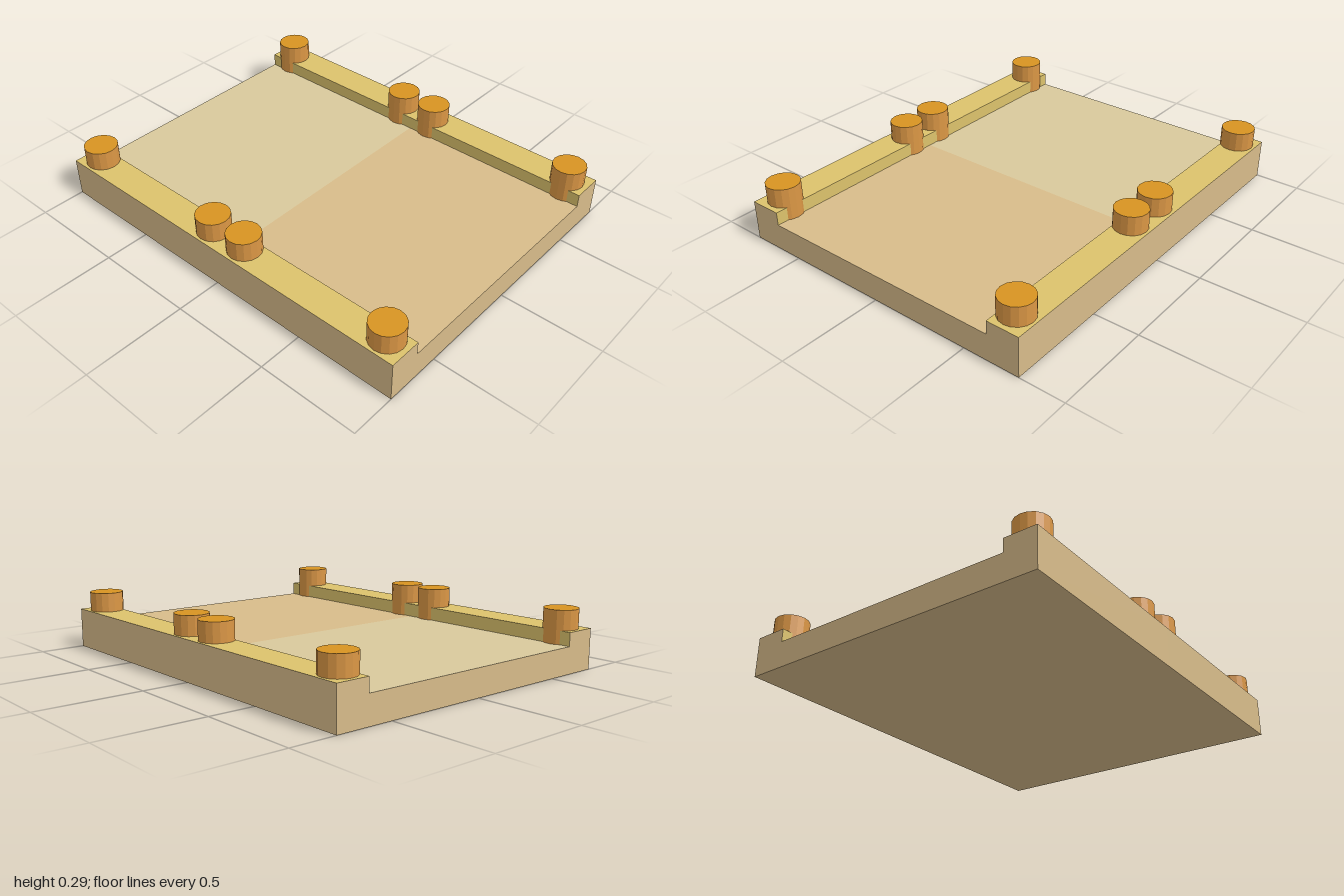
import * as THREE from 'three';

const HALF_W = 0.78, INNER = 0.62, FLOOR = 0.13, RAIL = 0.195, PEG_TOP = 0.29;

const paint = (color) => new THREE.MeshStandardMaterial({ color, flatShading: true });

// Tray: a U section swept along z, with the floor halves and rails painted
function makeTray() {
  const shape = new THREE.Shape([
    [-HALF_W, 0], [HALF_W, 0], [HALF_W, RAIL], [INNER, RAIL],
    [INNER, FLOOR], [-INNER, FLOOR], [-INNER, RAIL], [-HALF_W, RAIL],
  ].map(([x, y]) => new THREE.Vector2(x, y)));
  const geometry = new THREE.ExtrudeGeometry(shape, { depth: 2, steps: 2, bevelEnabled: false });
  geometry.translate(0, 0, -1);

  // Paint by where each triangle lies: 0 body, 1 front floor, 2 back floor, 3 rail
  const p = geometry.attributes.position, n = geometry.attributes.normal;
  geometry.clearGroups();
  for (let i = 0; i < p.count; i += 3) {
    const mean = (axis) => (p[axis](i) + p[axis](i + 1) + p[axis](i + 2)) / 3;
    const x = Math.abs(mean('getX')), y = mean('getY'), z = mean('getZ');
    const up = n.getY(i) > 0.5;
    const innerWall = Math.abs(n.getX(i)) > 0.5 && x < INNER + 0.01;
    let part = 0;
    if (innerWall || (up && y > FLOOR + 0.01)) part = 3;
    else if (up) part = z > 0 ? 1 : 2;
    geometry.addGroup(i, 3, part);
  }
  const tray = new THREE.Mesh(geometry, [0xd8bc8a, 0xd8bc8a, 0xd9c99c, 0xdcc26c].map(paint));
  tray.name = 'tray';
  return tray;
}

export function createModel() {
  const model = new THREE.Group();
  model.name = 'peggedTray';
  model.add(makeTray());

  // Pegs: four along each rail, standing slightly proud of its inner wall
  const height = PEG_TOP - FLOOR;
  const pegGeometry = new THREE.CylinderGeometry(0.082, 0.082, height, 16);
  const side = paint(0xdb9745), cap = paint(0xd89422);
  for (const sx of [-1, 1]) {
    for (const z of [-0.9, -0.1, 0.095, 0.895]) {
      const peg = new THREE.Mesh(pegGeometry, [side, cap, cap]);
      peg.name = sx > 0 ? 'leftPeg' : 'rightPeg';
      peg.position.set(sx * 0.686, FLOOR + height / 2, z);
      model.add(peg);
    }
  }
  return model;
}
